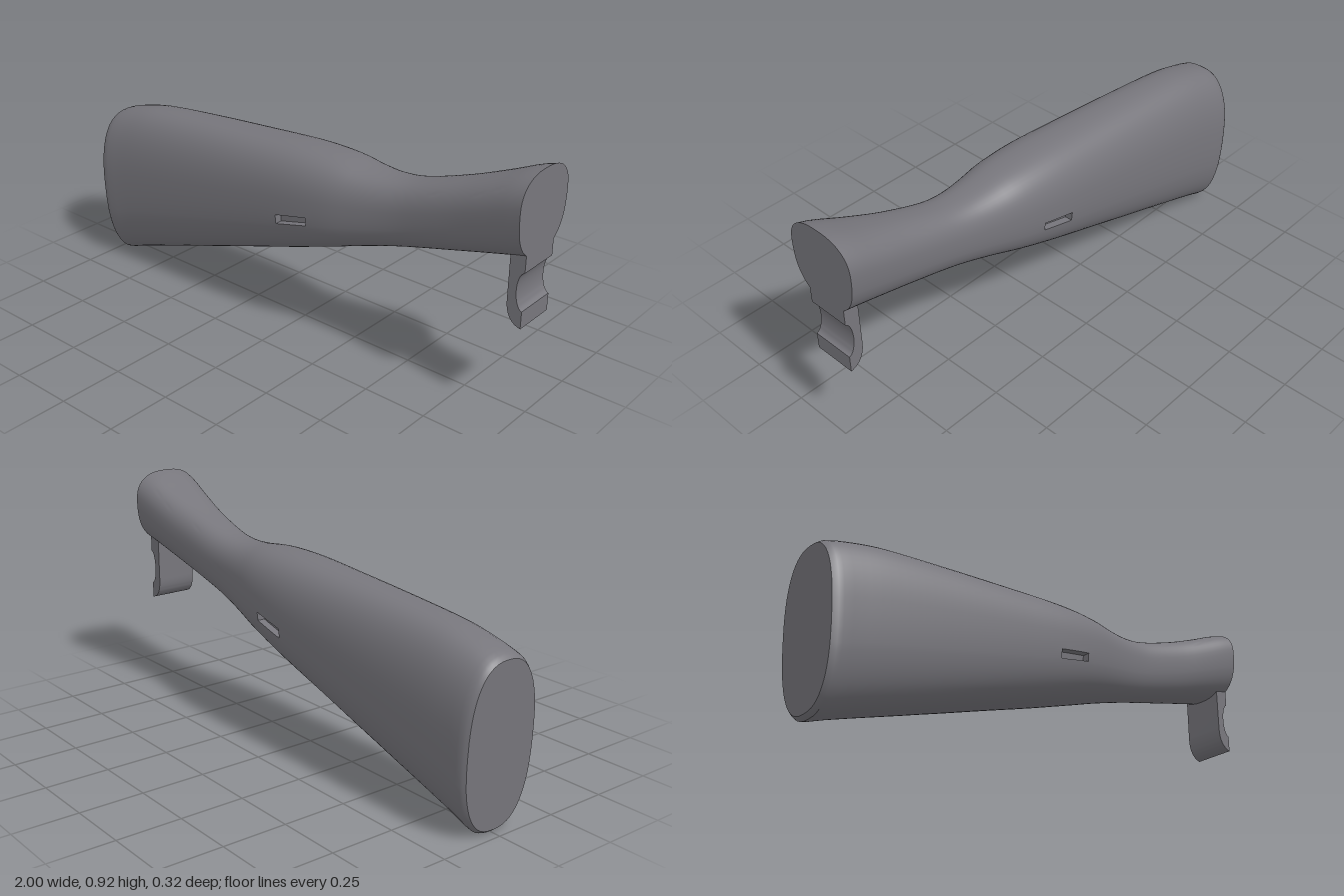
import * as THREE from 'three';
import { toCreasedNormals } from 'three/addons/utils/BufferGeometryUtils.js';

// Stations along the stock: x, top, bottom, half width, height fraction of the widest point
const STATIONS = [
  [-1, 0.615, 0.015, 0.15, 0.5],
  [-0.98, 0.63, 0.003, 0.16, 0.5],
  [-0.9, 0.655, 0.029, 0.16, 0.5],
  [-0.77, 0.682, 0.07, 0.16, 0.5],
  [-0.5, 0.708, 0.154, 0.16, 0.5],
  [-0.2, 0.73, 0.254, 0.16, 0.5],
  [0, 0.743, 0.32, 0.159, 0.5],
  [0.12, 0.745, 0.361, 0.154, 0.5],
  [0.22, 0.741, 0.395, 0.144, 0.5],
  [0.32, 0.729, 0.429, 0.126, 0.51],
  [0.42, 0.727, 0.46, 0.11, 0.52],
  [0.52, 0.742, 0.489, 0.103, 0.53],
  [0.7, 0.8, 0.538, 0.111, 0.55],
  [0.85, 0.86, 0.58, 0.128, 0.58],
  [0.95, 0.904, 0.607, 0.14, 0.6],
  [1, 0.92, 0.62, 0.145, 0.6],
];
const SLOT_X = [-0.01, 0.13], SLOT_T = [-0.34, -0.165], SLOT_DEPTH = 0.03;
const POWER = 2.5;

// Smooth interpolation of a station column
function profile(x, col) {
  const S = STATIONS, last = S.length - 1;
  let i = 0;
  while (i < last - 1 && x > S[i + 1][0]) i++;
  const slope = (k) => {
    const a = S[Math.max(k - 1, 0)], b = S[Math.min(k + 1, last)];
    return (b[col] - a[col]) / (b[0] - a[0]);
  };
  const d = S[i + 1][0] - S[i][0], u = (x - S[i][0]) / d;
  const u2 = u * u, u3 = u2 * u;
  return (2 * u3 - 3 * u2 + 1) * S[i][col] + (u3 - 2 * u2 + u) * d * slope(i)
    + (3 * u2 - 2 * u3) * S[i + 1][col] + (u3 - u2) * d * slope(i + 1);
}

// Evenly spaced values with the slot limits worked in
function withLimits(values, [a, b], keepInside, gap) {
  const near = (v) => Math.abs(v - a) < gap || Math.abs(v - b) < gap;
  return [...values.filter((v) => !near(v) && (keepInside || v < a || v > b)), a, b].sort((p, q) => p - q);
}

function stockGeometry() {
  const raw = [-1, -0.99, -0.98, -0.96];
  for (let i = 1; i <= 54; i++) raw.push(-0.96 + 1.96 * i / 54);
  const xs = withLimits(raw, SLOT_X, true, 0.01);
  const rows = [];
  for (let j = 0; j <= 28; j++) {
    const s = Math.sin(Math.PI * (j / 28 - 0.5));
    rows.push(Math.sign(s) * Math.abs(s) ** (2 / POWER));
  }
  const ts = withLimits(rows, SLOT_T, false, 0.03);
  const i0 = xs.indexOf(SLOT_X[0]), i1 = xs.indexOf(SLOT_X[1]), j0 = ts.indexOf(SLOT_T[0]);

  const point = (i, j, side, inset = 0) => {
    const x = xs[i], t = ts[j];
    const top = profile(x, 1), bottom = profile(x, 2), w = profile(x, 3);
    const mid = bottom + (top - bottom) * profile(x, 4);
    const y = mid + t * (t > 0 ? top - mid : mid - bottom);
    const z = w * Math.max(0, 1 - Math.abs(t) ** POWER) ** (1 / POWER) - inset;
    // The butt face leans, fading out toward the middle
    const lean = 0.03 * Math.max(0, (-0.5 - x) / 0.5) * (top - y) / (top - bottom);
    return [x + lean, y, side * z];
  };

  const pos = [];
  const quad = (a, b, c, d, flip) => {
    const order = flip ? [a, c, b, a, d, c] : [a, b, c, a, c, d];
    order.forEach((p) => pos.push(...p));
  };

  for (const side of [1, -1]) {
    const flip = side < 0;
    for (let i = 0; i < xs.length - 1; i++) {
      for (let j = 0; j < ts.length - 1; j++) {
        const inSlot = j === j0 && i >= i0 && i < i1;
        const d = inSlot ? SLOT_DEPTH : 0;
        const a = point(i, j, side, d), b = point(i + 1, j, side, d);
        const c = point(i + 1, j + 1, side, d), e = point(i, j + 1, side, d);
        quad(a, b, c, e, flip);
        if (!inSlot) continue;
        // Walls of the sling slot
        const A = point(i, j, side), B = point(i + 1, j, side);
        const C = point(i + 1, j + 1, side), E = point(i, j + 1, side);
        quad(A, B, b, a, flip);
        quad(e, c, C, E, flip);
        if (i === i0) quad(A, a, e, E, flip);
        if (i === i1 - 1) quad(B, C, c, b, flip);
      }
    }
  }
  // Flat end faces
  for (const [i, flip] of [[0, false], [xs.length - 1, true]]) {
    for (let j = 0; j < ts.length - 1; j++) {
      quad(point(i, j, -1), point(i, j, 1), point(i, j + 1, 1), point(i, j + 1, -1), flip);
    }
  }
  const geo = new THREE.BufferGeometry();
  geo.setAttribute('position', new THREE.Float32BufferAttribute(pos, 3));
  return toCreasedNormals(geo, 0.6);
}

// Hooked tang under the front end, with a round notch in its front
function tangGeometry() {
  const s = new THREE.Shape();
  s.moveTo(1, 0.645);
  s.lineTo(0.942, 0.63);
  s.lineTo(0.942, 0.46);
  s.bezierCurveTo(0.942, 0.41, 0.96, 0.378, 1, 0.37);
  s.lineTo(1, 0.435);
  s.bezierCurveTo(0.965, 0.445, 0.965, 0.565, 1, 0.577);
  s.closePath();
  const geo = new THREE.ExtrudeGeometry(s, { depth: 0.168, bevelEnabled: false, curveSegments: 16 });
  geo.translate(0, 0, -0.084);
  return toCreasedNormals(geo, 0.6);
}

export function createModel() {
  const grey = new THREE.MeshStandardMaterial({ color: 0x77767c });
  grey.name = 'grey';
  const group = new THREE.Group();
  group.name = 'shoulderStock';
  for (const [name, geo] of [['stockBody', stockGeometry()], ['frontTang', tangGeometry()]]) {
    const mesh = new THREE.Mesh(geo, grey);
    mesh.name = name;
    group.add(mesh);
  }
  return group;
}
